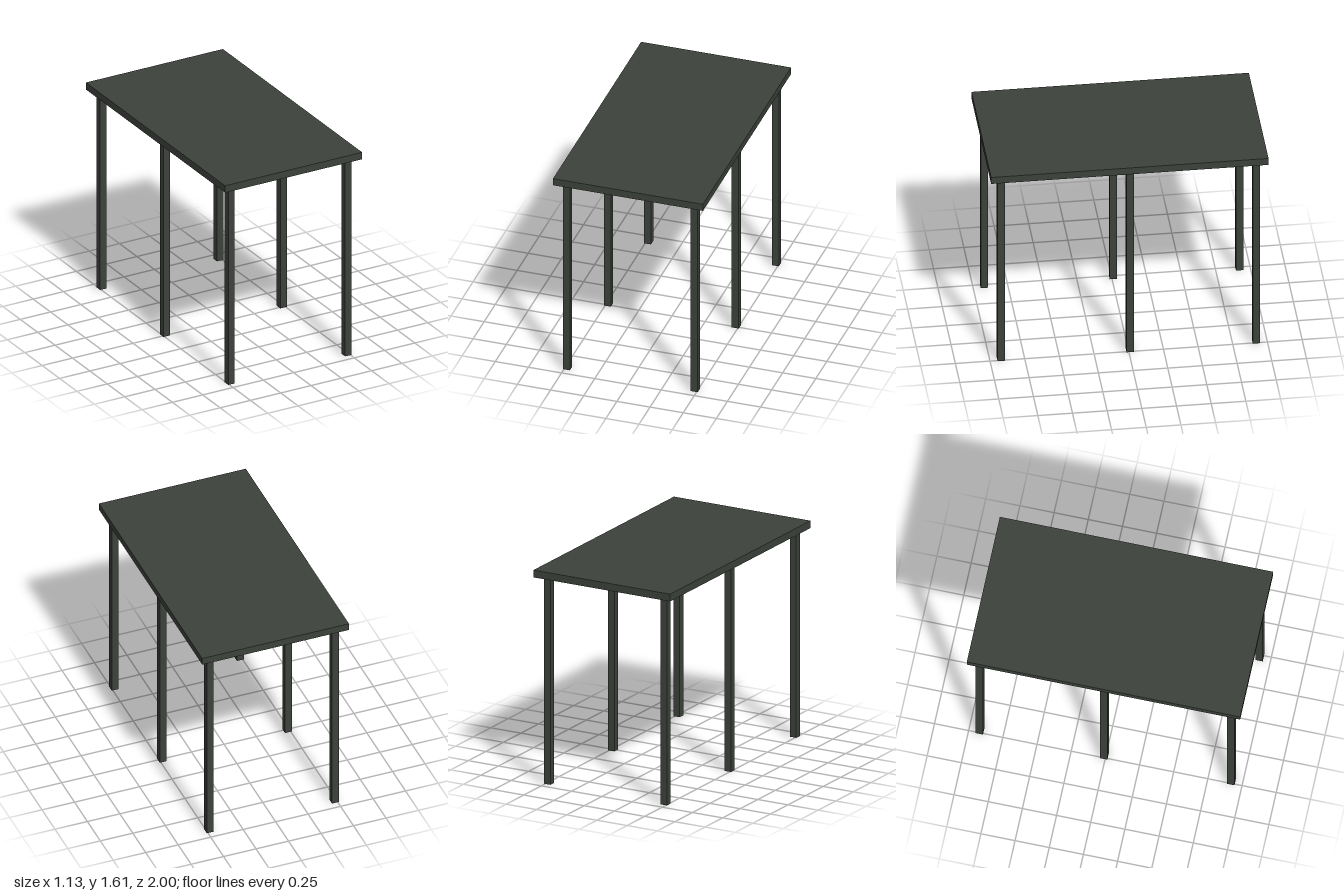
import * as THREE from 'three';

export function createModel() {
  const model = new THREE.Group();
  const paint = new THREE.MeshStandardMaterial({ color: 0x3c423b });
  paint.name = 'dark green paint';

  const W = 1.13, L = 2, H = 1.61;      // overall width, length, height
  const sheet = 0.012, rim = 0.055, wall = 0.006;
  const under = H - sheet;

  function box(name, w, h, d, x, y, z) {
    const mesh = new THREE.Mesh(new THREE.BoxGeometry(w, h, d), paint);
    mesh.name = name;
    mesh.position.set(x, y, z);
    model.add(mesh);
  }

  // Table top: a thin sheet with a folded rim, hollow underneath
  box('tableTop', W, sheet, L, 0, H - sheet / 2, 0);
  const rimH = rim - sheet, rimY = H - rim + rimH / 2;
  for (const s of [-1, 1]) {
    box('sideRim', wall, rimH, L, s * (W - wall) / 2, rimY, 0);
    box('endRim', W - 2 * wall, rimH, wall, 0, rimY, s * (L - wall) / 2);
  }

  // Six square legs in two rows, reaching the underside of the sheet
  for (const x of [-0.482, 0.482]) {
    for (const z of [-0.92, -0.01, 0.92]) {
      box('leg', 0.053, under, 0.053, x, under / 2, z);
    }
  }
  return model;
}
